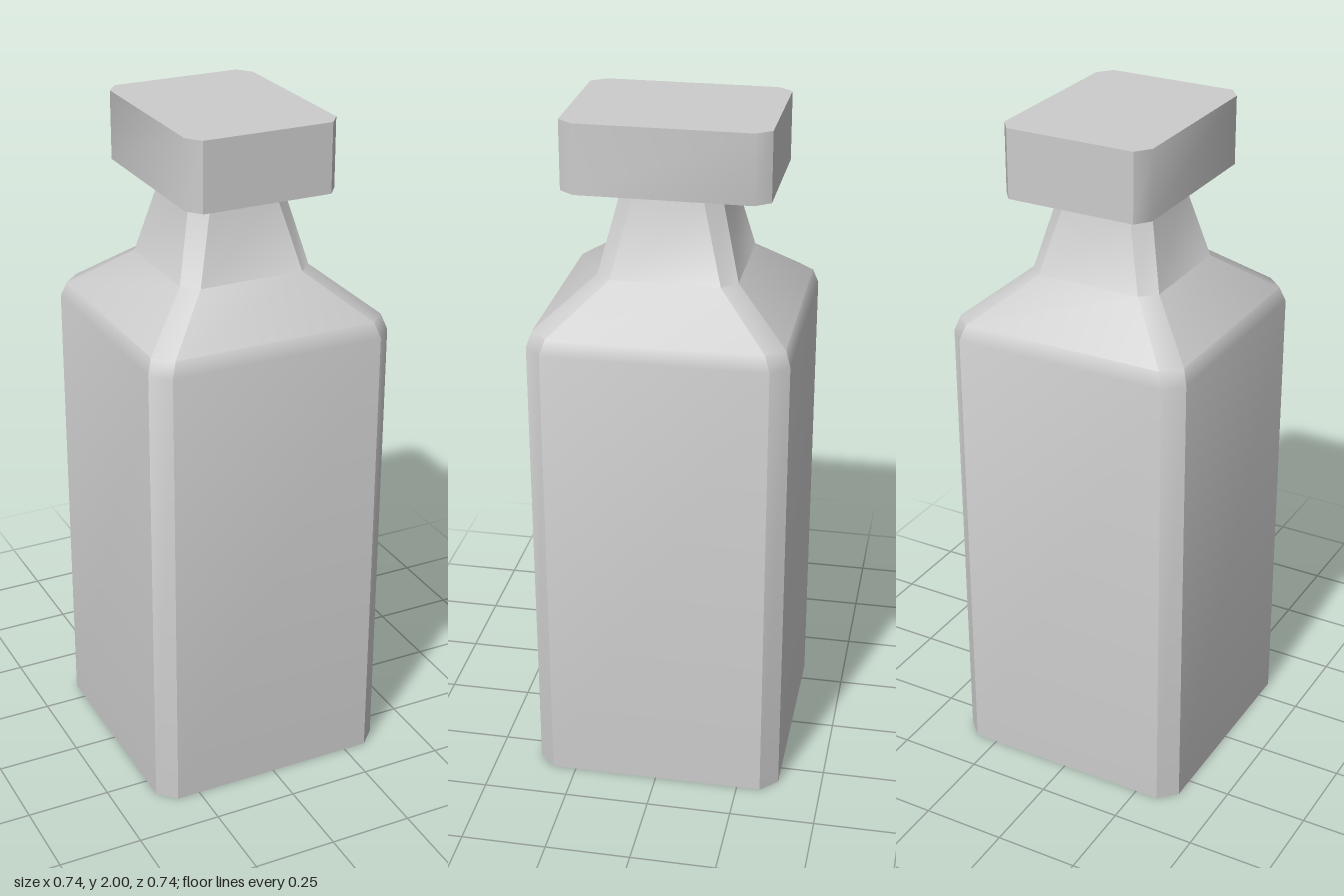
import * as THREE from 'three';
import { toCreasedNormals } from 'three/addons/utils/BufferGeometryUtils.js';

const material = new THREE.MeshStandardMaterial({ color: 0xcccccc });

// Chamfered rectangle, counter-clockwise seen from above.
function ring({ y, hx, hz = hx, cx = 0.05, cz = cx }) {
  const ix = hx - cx, iz = hz - cz;
  return [
    [hx, iz], [hx, -iz], [ix, -hz], [-ix, -hz],
    [-hx, -iz], [-hx, iz], [-ix, hz], [ix, hz],
  ].map(([x, z]) => [x, y, z]);
}

// Skin a stack of chamfered rectangles and close both ends.
function loft(name, levels) {
  const rings = levels.map(ring);
  const n = 8, last = (rings.length - 1) * n;
  const index = [];
  for (let i = 0; i < rings.length - 1; i++) {
    for (let j = 0; j < n; j++) {
      const a = i * n + j, b = i * n + (j + 1) % n;
      index.push(a, b, b + n, a, b + n, a + n);
    }
  }
  for (let j = 1; j < n - 1; j++) {
    index.push(0, j + 1, j);
    index.push(last, last + j, last + j + 1);
  }
  const geometry = new THREE.BufferGeometry();
  geometry.setAttribute('position', new THREE.Float32BufferAttribute(rings.flat(2), 3));
  geometry.setIndex(index);
  // Chamfer edges stay sharp, the shoulder bends stay smooth.
  const mesh = new THREE.Mesh(toCreasedNormals(geometry, 0.7), material);
  mesh.name = name;
  return mesh;
}

export function createModel() {
  const model = new THREE.Group();
  model.name = 'bottle';

  // Square body with sloping shoulder and tapered neck
  model.add(loft('body', [
    { y: 0, hx: 0.37 },
    { y: 1.38, hx: 0.37 },
    { y: 1.425, hx: 0.355 },
    { y: 1.55, hx: 0.2, cx: 0.043 },
    { y: 1.77, hx: 0.145, cx: 0.045 },
  ]));

  // Short collar between neck and stopper
  model.add(loft('collar', [
    { y: 1.77, hx: 0.13, cx: 0.04 },
    { y: 1.8, hx: 0.13, cx: 0.04 },
  ]));

  // Rectangular stopper, deeper than wide
  const stopper = { hx: 0.225, hz: 0.292, cx: 0.033, cz: 0.043 };
  model.add(loft('stopper', [{ y: 1.8, ...stopper }, { y: 2, ...stopper }]));

  return model;
}
